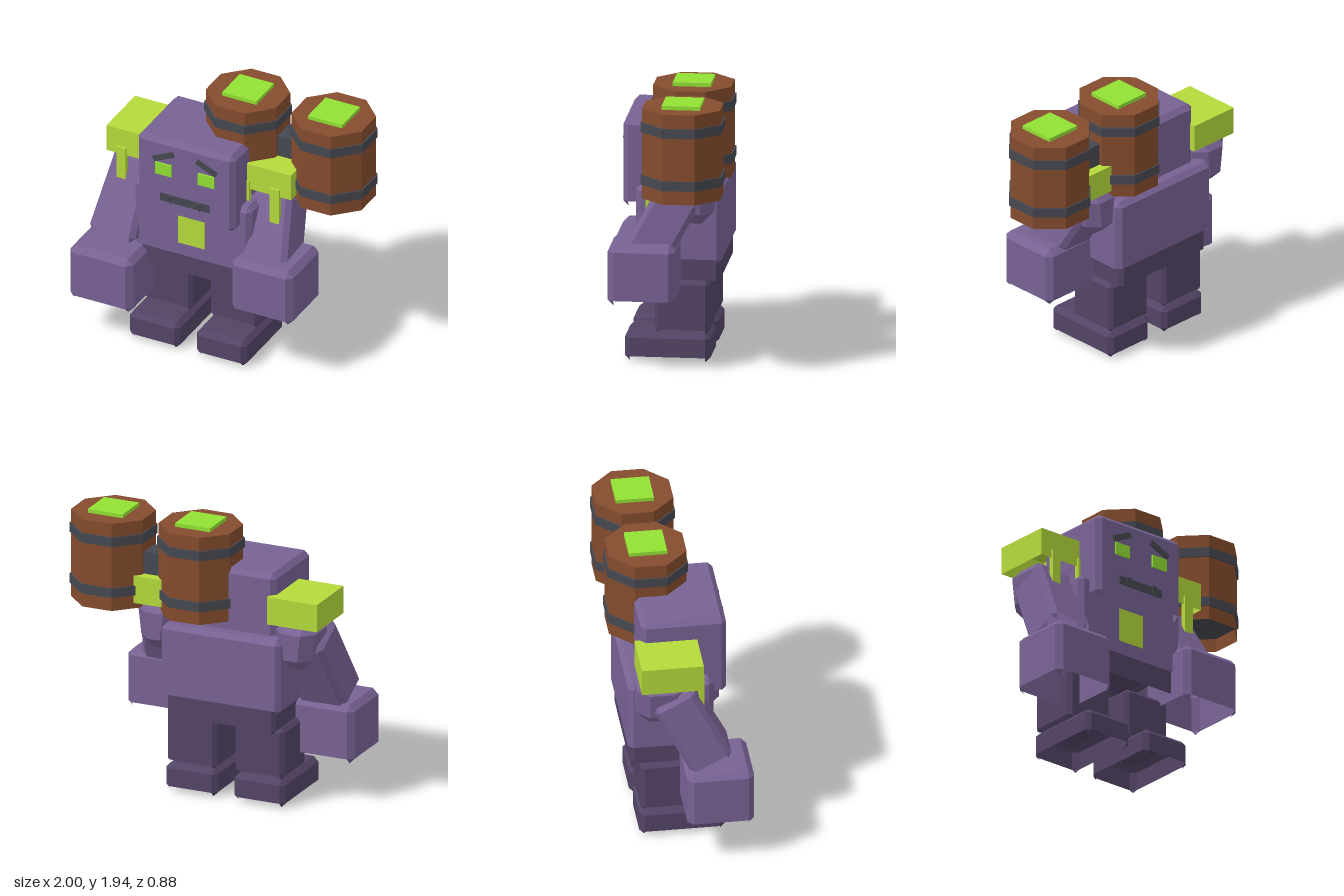
import * as THREE from 'three';

const mat = (name, color) => {
  const m = new THREE.MeshStandardMaterial({ color, flatShading: true, side: THREE.DoubleSide });
  m.name = name;
  return m;
};

// Chamfered block built from four rings. The underside may be left open, with only
// the corner points reaching down; taperX scales the width of the lower end.
function chamferBox(w, h, d, b, { open = true, taperX = 1 } = {}) {
  const ring = (y, s, inner) => {
    const X = (w / 2) * s, Z = d / 2, ix = X - b, iz = Z - b;
    const ox = inner ? ix : X, oz = inner ? iz : Z;
    return [[ix, oz], [ox, iz], [ox, -iz], [ix, -oz], [-ix, -oz], [-ox, -iz], [-ox, iz], [-ix, oz]]
      .map(([x, z]) => [x, y, z]);
  };
  const rings = [
    ring(-h / 2, taperX, true), ring(-h / 2 + b, taperX, false),
    ring(h / 2 - b, 1, false), ring(h / 2, 1, true),
  ];
  const pos = [];
  const tri = (...pts) => pts.forEach((p) => pos.push(...p));
  for (let r = 0; r < 3; r++) {
    const [lo, hi] = [rings[r], rings[r + 1]];
    for (let i = 0; i < 8; i++) {
      const j = (i + 1) % 8, corner = i % 2 === 0;
      if (r === 0 && open && !corner) continue;
      if (!(r === 0 && corner)) tri(lo[i], lo[j], hi[j]);
      if (!(r === 2 && corner)) tri(lo[i], hi[j], hi[i]);
    }
  }
  const [bot, , , top] = rings;
  tri(top[0], top[2], top[4]);
  tri(top[0], top[4], top[6]);
  if (!open) {
    tri(bot[0], bot[4], bot[2]);
    tri(bot[0], bot[6], bot[4]);
  }
  const g = new THREE.BufferGeometry();
  g.setAttribute('position', new THREE.Float32BufferAttribute(pos, 3));
  g.computeVertexNormals();
  return g;
}

export function createModel() {
  const purple = mat('purple skin', 0x786294);
  const darkPurple = mat('dark purple legs', 0x534466);
  const lime = mat('lime cloth', 0xb4d93b);
  const green = mat('bright green', 0x92e035);
  const iron = mat('dark iron', 0x464850);
  const brown = mat('barrel wood', 0x844c2d);

  const model = new THREE.Group();
  model.name = 'barrelCarrier';
  const add = (name, geo, material, x, y, z, parent = model) => {
    const m = new THREE.Mesh(geo, material);
    m.name = name;
    m.position.set(x, y, z);
    parent.add(m);
    return m;
  };
  // Block given by its limits on each axis
  const block = (name, material, [x0, x1], [y0, y1], [z0, z1], bevel) => add(
    name,
    bevel ? chamferBox(x1 - x0, y1 - y0, z1 - z0, bevel)
      : new THREE.BoxGeometry(x1 - x0, y1 - y0, z1 - z0),
    material, (x0 + x1) / 2, (y0 + y1) / 2, (z0 + z1) / 2);

  const CX = -0.169; // middle of the body

  // Torso, hips and head
  block('torso', purple, [CX - 0.447, CX + 0.447], [0.69, 1.23], [-0.378, 0.21], 0.035);
  block('hips', darkPurple, [CX - 0.405, CX + 0.405], [0.545, 0.76], [-0.36, 0.19], 0.025);
  block('head', purple, [CX - 0.37, CX + 0.37], [1.065, 1.67], [-0.28, 0.305], 0.035);
  block('bellyPatch', lime, [CX - 0.102, CX + 0.102], [0.82, 1.06], [0.207, 0.215]);

  // Face
  block('mouth', iron, [CX - 0.187, CX + 0.187], [1.188, 1.247], [0.303, 0.312]);
  for (const s of [-1, 1]) {
    add('eye', new THREE.BoxGeometry(0.125, 0.09, 0.014), green, CX + s * 0.163, 1.442, 0.311);
    const brow = add('eyebrow', new THREE.BoxGeometry(0.165, 0.04, 0.012), iron, CX + s * 0.165, 1.543, 0.311);
    brow.rotation.z = -s * 0.43;
    const tooth = add('tooth', new THREE.ConeGeometry(0.026, 0.075, 4).rotateY(Math.PI / 4),
      iron, CX + s * 0.112, 1.209, 0.311);
    tooth.rotation.x = Math.PI;
  }

  // Legs, shoulders and pads on both sides
  for (const s of [-1, 1]) {
    const side = s > 0 ? 'left' : 'right';
    add(side + 'Leg', chamferBox(0.37, 0.37, 0.37, 0.027), darkPurple, CX + s * 0.253, 0.383, -0.105);
    add(side + 'Foot', chamferBox(0.386, 0.2, 0.585, 0.035), darkPurple, CX + s * 0.255, 0.1, -0.007);
    add(side + 'Shoulder', chamferBox(0.3, 0.35, 0.34, 0.08, { open: false, taperX: 0.85 }),
      purple, CX + s * 0.515, 1.185, -0.165);

    // Hollow pad: four walls and a roof
    const pad = new THREE.Group();
    pad.name = side + 'ShoulderPad';
    pad.position.set(CX + s * 0.517, 1.425, -0.108);
    model.add(pad);
    const W = 0.375, H = 0.196, D = 0.425;
    const face = (name, w, h, x, y, z, rx, ry) => {
      add(name, new THREE.PlaneGeometry(w, h), lime, x, y, z, pad).rotation.set(rx, ry, 0);
    };
    face('padRoof', W, D, 0, H / 2, 0, -Math.PI / 2, 0);
    for (const t of [-1, 1]) {
      face('padEnd', W, H, 0, 0, t * D / 2, 0, t > 0 ? 0 : Math.PI);
      face('padSide', D, H, t * W / 2, 0, 0, 0, t * Math.PI / 2);
    }
    add(side + 'Strap', new THREE.BoxGeometry(0.07, 0.27, 0.035), lime, CX + s * 0.585, 1.252, 0.103);
    add(side + 'InnerStrap', new THREE.BoxGeometry(0.06, 0.15, 0.035), lime, CX + s * 0.36, 1.312, 0.1);
  }

  // Arms: tapered blocks from shoulder to fist
  const arm = (name, from, to) => {
    const a = new THREE.Vector3(...from), b = new THREE.Vector3(...to);
    const up = a.clone().sub(b), len = up.length();
    const mid = a.add(b).multiplyScalar(0.5);
    const m = add(name, chamferBox(0.29, len, 0.31, 0.035, { taperX: 1.2 }), purple, mid.x, mid.y, mid.z);
    m.quaternion.setFromUnitVectors(new THREE.Vector3(0, 1, 0), up.normalize());
  };
  arm('rightArm', [-0.71, 1.23, -0.1], [-0.75, 0.71, 0.17]);
  arm('leftArm', [0.35, 1.22, -0.115], [0.4, 0.74, 0.15]);
  block('rightFist', purple, [-1, -0.517], [0.28, 0.703], [-0.022, 0.437], 0.042);
  block('leftFist', purple, [0.198, 0.664], [0.475, 0.898], [-0.098, 0.36], 0.042);

  // Two eight-sided barrels, open below, with iron hoops and green lids
  const octagon = (apothem, h, open) => {
    const r = apothem / Math.cos(Math.PI / 8);
    return new THREE.CylinderGeometry(r, r, h, 8, 1, open).rotateY(Math.PI / 8);
  };
  for (const x of [0.069, 0.724]) {
    const barrel = new THREE.Group();
    barrel.name = 'barrel';
    barrel.position.set(x, 0, -0.166);
    model.add(barrel);
    add('barrelStaves', octagon(0.266, 0.63, true), brown, 0, 1.602, 0, barrel);
    add('barrelTop', octagon(0.266, 0.006, false), brown, 0, 1.914, 0, barrel);
    for (const y of [1.418, 1.786]) add('hoop', octagon(0.276, 0.068, false), iron, 0, y, 0, barrel);
    add('lid', new THREE.BoxGeometry(0.262, 0.028, 0.262), green, 0, 1.93, 0, barrel);
  }
  block('barrelLink', iron, [0.31, 0.47], [1.42, 1.68], [-0.25, -0.085]);

  return model;
}
